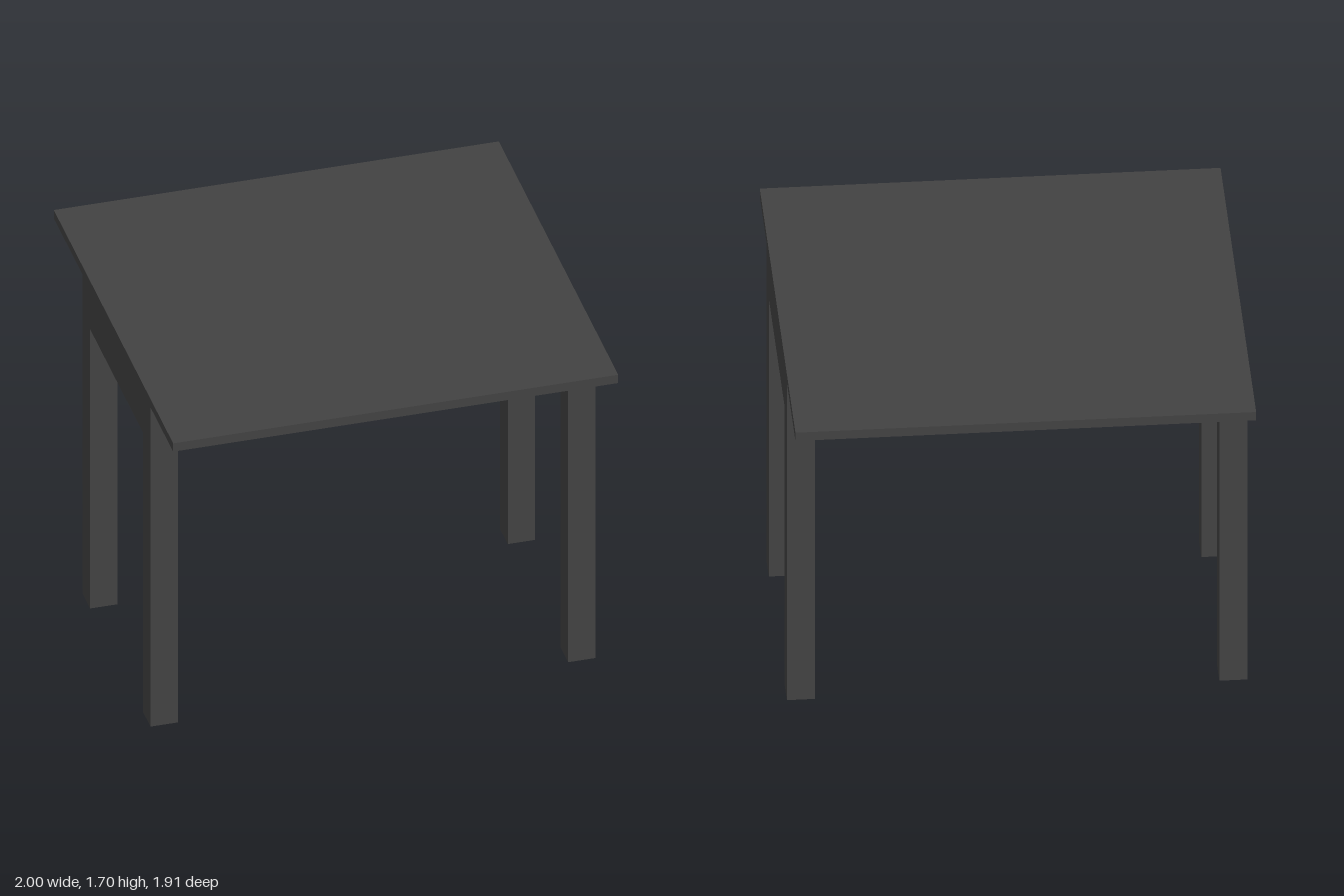
import * as THREE from 'three';

export function createModel() {
  const table = new THREE.Group();
  table.name = 'table';
  const charcoal = new THREE.MeshStandardMaterial({ color: 0x424242 });
  charcoal.name = 'charcoal';

  // Box given by its minimum and maximum corners
  const addBox = (name, [x0, y0, z0], [x1, y1, z1]) => {
    const mesh = new THREE.Mesh(new THREE.BoxGeometry(x1 - x0, y1 - y0, z1 - z0), charcoal);
    mesh.position.set((x0 + x1) / 2, (y0 + y1) / 2, (z0 + z1) / 2);
    mesh.name = name;
    table.add(mesh);
  };

  const underTop = 1.652, apronBottom = 1.446;
  const front = 0.593, back = -0.497, leg = 0.123;

  // Wide thin top, overhanging front and back
  addBox('tableTop', [-1, underTop, -0.955], [1, 1.695, 0.955]);

  // Solid block under the top, set slightly forward
  addBox('apron', [-1, apronBottom, back], [1, underTop, front]);

  // Four square legs flush with the block's corners
  for (const side of [-1, 1]) {
    const x0 = side < 0 ? -1 : 1 - leg;
    const sideName = side < 0 ? 'Right' : 'Left';
    addBox(`front${sideName}Leg`, [x0, 0, front - leg], [x0 + leg, apronBottom, front]);
    addBox(`back${sideName}Leg`, [x0, 0, back], [x0 + leg, apronBottom, back + leg]);
  }
  return table;
}
